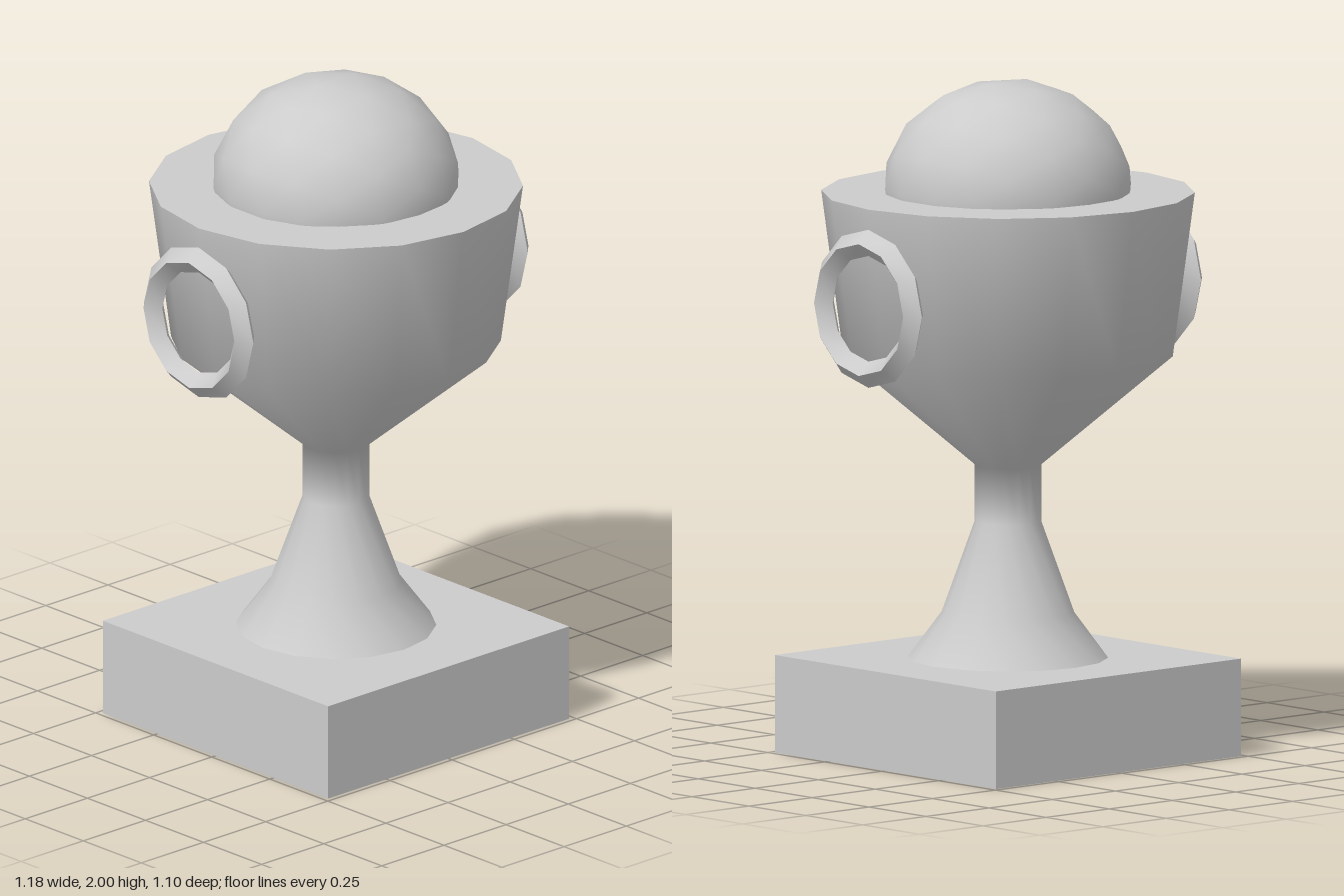
import * as THREE from 'three';
import { toCreasedNormals } from 'three/addons/utils/BufferGeometryUtils.js';

const material = new THREE.MeshStandardMaterial({ color: 0xcccccc });

function part(name, geometry, x = 0, y = 0, z = 0) {
  const mesh = new THREE.Mesh(geometry, material);
  mesh.name = name;
  mesh.position.set(x, y, z);
  return mesh;
}

export function createModel() {
  const model = new THREE.Group();
  model.name = 'trophy';

  // Square plinth
  const baseHeight = 0.29;
  model.add(part('base', new THREE.BoxGeometry(0.97, baseHeight, 0.97), 0, baseHeight / 2, 0));

  // Flared stem and cup, one smooth turned profile
  const sides = 16;
  const rimRadius = 0.55;
  const rimHeight = 1.674;
  const profile = [
    [0.295, baseHeight], [0.195, 0.425], [0.098, 0.695],
    [0.098, 0.863], [0.485, 1.187], [rimRadius, rimHeight],
  ].map(([r, y]) => new THREE.Vector2(r, y));
  model.add(part('stemAndCup', new THREE.LatheGeometry(profile, sides)));

  // Flat top closing the cup
  const lid = new THREE.CircleGeometry(rimRadius, sides).rotateX(-Math.PI / 2);
  model.add(part('cupTop', lid, 0, rimHeight, 0));

  // Slightly flattened faceted ball, its upper half showing above the cup
  const ball = new THREE.IcosahedronGeometry(0.367, 2).scale(1, 0.866, 1);
  model.add(part('dome', ball, 0, 1.689, 0));

  // Ring handles with a diamond cross-section, one on each side
  const ring = toCreasedNormals(
    new THREE.TorusGeometry(0.196, 0.039, 4, 12).rotateY(Math.PI / 2),
    THREE.MathUtils.degToRad(35),
  );
  for (const side of [1, -1]) {
    model.add(part(side > 0 ? 'leftHandle' : 'rightHandle', ring, side * 0.552, 1.38, 0));
  }

  return model;
}
